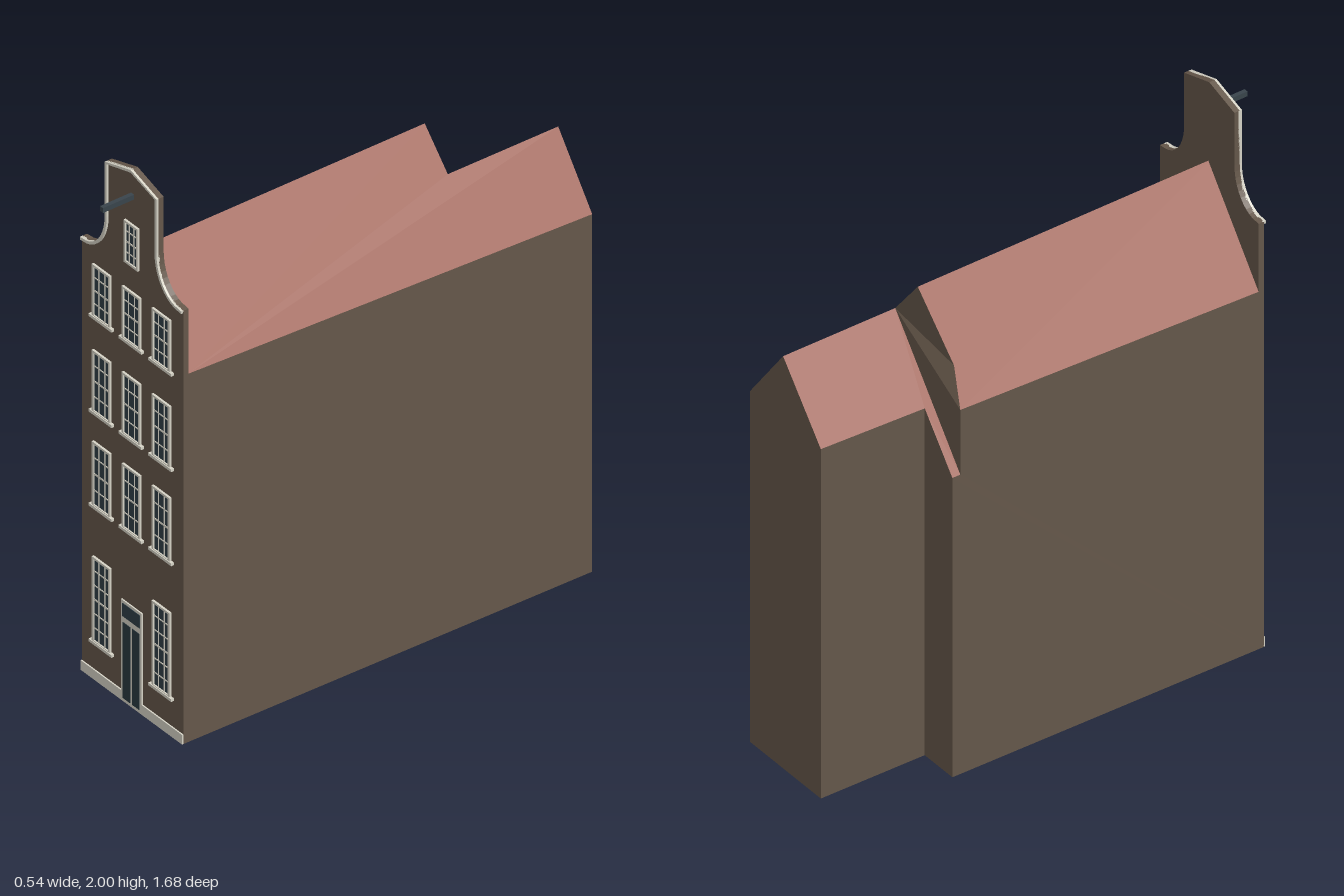
import * as THREE from 'three';

const mat = (name, color) => {
  const m = new THREE.MeshStandardMaterial({ color });
  m.name = name;
  return m;
};

export function createModel() {
  const brick = mat('brown brick', 0x65574a);
  const tile = mat('red roof tile', 0x964f3c);
  const trim = mat('pale stone', 0xd6d3c6);
  const glass = mat('dark glass', 0x2f3e46);
  const doorPaint = mat('door paint', 0x2a3940);
  const iron = mat('dark beam', 0x39444b);

  const house = new THREE.Group();
  house.name = 'canalHouse';
  const CX = -0.015; // facade centre line
  const FZ = 0.72; // facade front plane

  // Flat polygons, each fanned from its first corner
  function faces(name, material, polygons) {
    const pos = [];
    for (const p of polygons)
      for (let i = 1; i < p.length - 1; i++) pos.push(...p[0], ...p[i], ...p[i + 1]);
    const g = new THREE.BufferGeometry();
    g.setAttribute('position', new THREE.Float32BufferAttribute(pos, 3));
    g.computeVertexNormals();
    const mesh = new THREE.Mesh(g, material);
    mesh.name = name;
    house.add(mesh);
  }

  function box(parent, name, material, w, h, d, x, y, z) {
    const mesh = new THREE.Mesh(new THREE.BoxGeometry(w, h, d), material);
    mesh.position.set(x, y, z);
    mesh.name = name;
    parent.add(mesh);
  }

  // Corners of the slightly skewed main house and its narrower rear wing
  const front = 0.705, rear = -0.84, step = -0.45;
  const ridgeFront = [-0.01, 1.7, front], ridgeBack = [-0.01, 1.7, -0.405];
  const eaveRF = [0.24, 1.37, front], eaveRB = [0.266, 1.33, rear];
  const eaveLF = [-0.27, 1.355, front], eaveLB = [-0.25, 1.38, -0.42];
  const gableKink = [-0.17, 1.487, -0.385];
  const wingRidgeB = [0.095, 1.563, rear], wingRidgeF = [0.093, 1.563, -0.415];
  const wingEaveB = [-0.1, 1.325, rear], wingEaveF = [-0.107, 1.315, step];
  const lowEaveB = [-0.25, 1.135, step], lowEaveF = [-0.25, 1.135, -0.42];
  const ground = (p) => [p[0], 0, p[2]];
  const gRF = ground(eaveRF), gRB = ground(eaveRB), gLF = ground(eaveLF);
  const gWB = ground(wingEaveB), gWF = ground(wingEaveF), gLB = ground(lowEaveB);

  faces('walls', brick, [
    [gRF, gRB, eaveRB, eaveRF],
    [gRB, gWB, wingEaveB, wingRidgeB, eaveRB],
    [gWB, gWF, wingEaveF, wingEaveB],
    [gWF, gLB, lowEaveB, wingEaveF],
    [gLF, eaveLF, eaveLB, lowEaveF, lowEaveB, gLB],
    [gLF, gRF, eaveRF, ridgeFront, eaveLF],
    [wingRidgeF, lowEaveF, eaveLB, gableKink, ridgeBack],
    [gWF, gWB, gRB, gRF, gLF, gLB],
  ]);
  faces('roof', tile, [
    [eaveRF, eaveRB, wingRidgeB, wingRidgeF, ridgeBack, ridgeFront],
    [ridgeFront, ridgeBack, gableKink, eaveLB, eaveLF],
    [wingEaveF, lowEaveB, lowEaveF, wingRidgeF, wingRidgeB, wingEaveB],
  ]);

  // Neck gable outline, right shoulder to left shoulder
  const half = [[0.255, 1.612], [0.24, 1.614]];
  for (let i = 1; i <= 10; i++) {
    const a = (i / 10) * Math.PI / 2;
    half.push([0.24 - 0.11 * Math.sin(a), 1.76 - 0.146 * Math.cos(a)]);
  }
  half.push([0.13, 1.96]);
  const outline = [...half, [0, 2], ...half.slice().reverse().map(([x, y]) => [-x, y])]
    .map(([x, y]) => new THREE.Vector2(x, y));

  function extruded(name, material, points, depth, z) {
    const g = new THREE.ExtrudeGeometry(new THREE.Shape(points), { depth, bevelEnabled: false });
    const mesh = new THREE.Mesh(g, material);
    mesh.position.set(CX, 0, z);
    mesh.name = name;
    house.add(mesh);
  }
  const base = [new THREE.Vector2(-0.255, 0), new THREE.Vector2(0.255, 0)];
  extruded('facade', brick, [...base, ...outline], 0.02, 0.7);

  // Coping: a narrow ribbon along the gable edge
  const inner = outline.map((p, i) => {
    const a = outline[Math.max(i - 1, 0)], b = outline[Math.min(i + 1, outline.length - 1)];
    const t = b.clone().sub(a).normalize();
    return new THREE.Vector2(p.x - t.y * 0.01, p.y + t.x * 0.01);
  });
  extruded('gableCoping', trim, [...outline, ...inner.reverse()], 0.012, 0.716);

  // Sash windows: pane, frame, glazing bars and sill
  function sash(name, x, y0, y1, w, rows, sill) {
    const g = new THREE.Group();
    g.name = name;
    const h = y1 - y0, f = 0.008;
    g.position.set(x, y0, FZ);
    box(g, 'pane', glass, w - f, h - f, 0.004, 0, h / 2, 0.001);
    for (const s of [-1, 1]) {
      box(g, 'jamb', trim, f, h, 0.01, s * (w - f) / 2, h / 2, 0.003);
      box(g, 'rail', trim, w, f, 0.01, 0, h / 2 + s * (h - f) / 2, 0.003);
      box(g, 'bar', trim, 0.004, h, 0.006, s * w / 6, h / 2, 0.002);
    }
    for (let i = 1; i < rows; i++)
      box(g, 'bar', trim, w, i * 2 === rows ? 0.006 : 0.004, 0.006, 0, (h * i) / rows, 0.002);
    if (sill) box(g, 'sill', trim, w + 0.025, 0.01, 0.014, 0, 0, 0.004);
    house.add(g);
  }
  for (const [y0, y1] of [[0.645, 0.885], [0.995, 1.225], [1.35, 1.545]])
    for (const dx of [-0.15, 0, 0.15]) sash('window', CX + dx, y0, y1, 0.09, 4, true);
  for (const dx of [-0.15, 0.15]) sash('groundWindow', CX + dx, 0.14, 0.457, 0.09, 6, true);
  sash('atticWindow', CX, 1.64, 1.797, 0.07, 4, false);

  // Double door with transom light
  const door = new THREE.Group();
  door.name = 'door';
  door.position.set(CX, 0, FZ);
  box(door, 'doorFrame', trim, 0.104, 0.375, 0.006, 0, 0.1875, 0.002);
  box(door, 'transomLight', glass, 0.088, 0.048, 0.004, 0, 0.341, 0.005);
  for (const s of [-1, 1]) box(door, 'doorLeaf', doorPaint, 0.037, 0.282, 0.004, s * 0.0235, 0.154, 0.005);
  house.add(door);

  // Stone plinth either side of the door
  for (const s of [-1, 1]) box(house, 'plinth', trim, 0.203, 0.036, 0.006, CX + s * 0.1535, 0.018, FZ + 0.002);

  // Hoisting beam
  box(house, 'hoistBeam', iron, 0.015, 0.018, 0.13, CX, 1.9, 0.775);

  return house;
}
